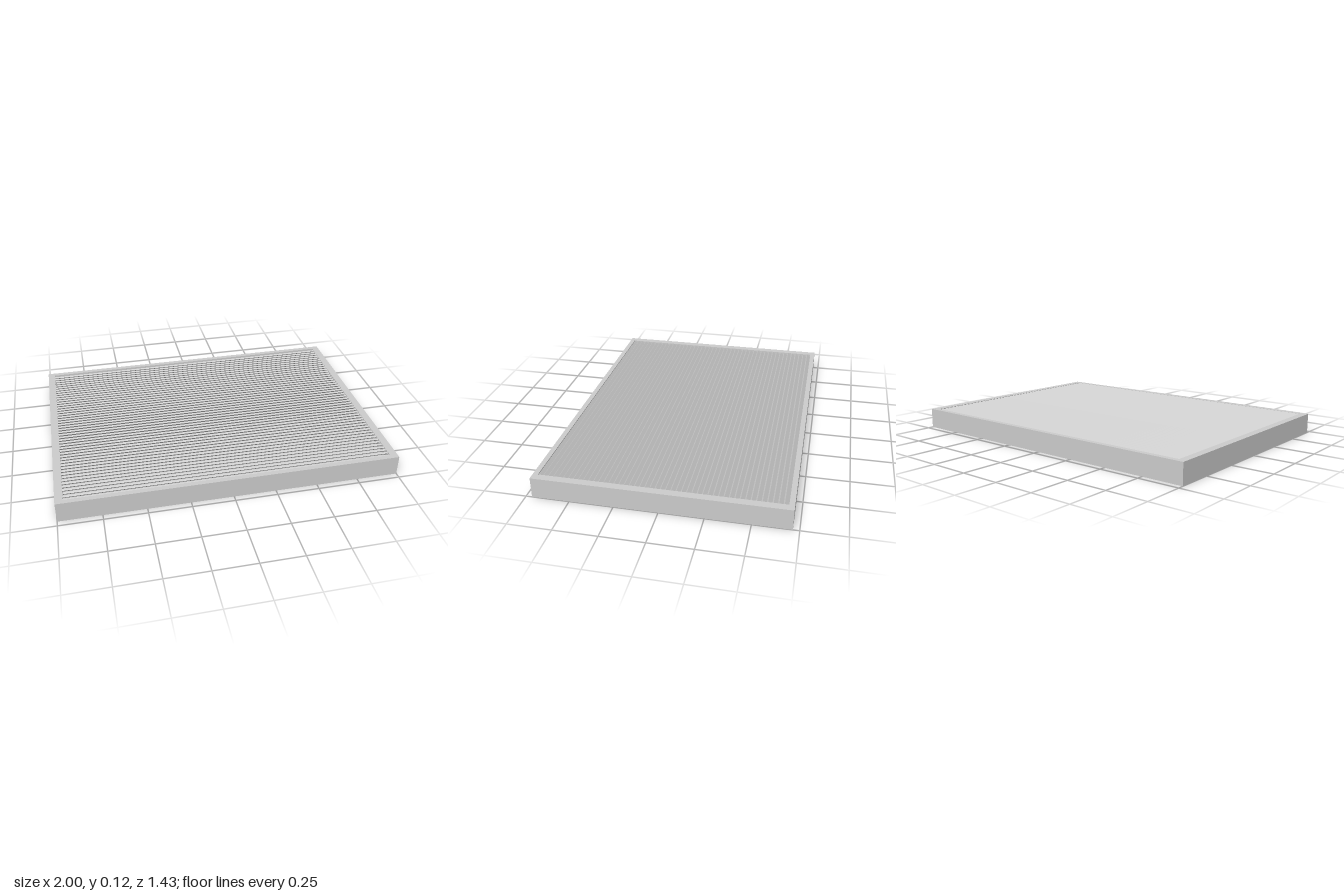
import * as THREE from 'three';

const W = 2, D = 1.43, H = 0.123;   // overall size
const PLATE_Y = 0.07;               // underside of the backing plate
const WALL = 0.003;
const OPEN_X = 1.91, OPEN_Z = 1.37; // louvre opening
const SLATS = 48, SLAT_T = 0.01, SLAT_L = 0.034, TILT = Math.PI / 4;

function rectPoints(w, d) {
  return [[-w, -d], [w, -d], [w, d], [-w, d]].map(([x, y]) => new THREE.Vector2(x / 2, y / 2));
}

// Rectangular ring lying flat, between heights y0 and y1
function ring(outerW, outerD, innerW, innerD, y0, y1) {
  const shape = new THREE.Shape(rectPoints(outerW, outerD));
  shape.holes.push(new THREE.Path(rectPoints(innerW, innerD).reverse()));
  const geo = new THREE.ExtrudeGeometry(shape, { depth: y1 - y0, bevelEnabled: false });
  return geo.rotateX(-Math.PI / 2).translate(0, y0, 0);
}

export function createModel() {
  const model = new THREE.Group();
  model.name = 'louvredPanel';
  const material = new THREE.MeshStandardMaterial({ color: 0xcccccc, flatShading: true });
  const add = (name, geo, parent = model) => {
    const mesh = new THREE.Mesh(geo, material);
    mesh.name = name;
    parent.add(mesh);
    return mesh;
  };

  // Thin outer walls, open underneath
  add('skirt', ring(W, D, W - 2 * WALL, D - 2 * WALL, 0, PLATE_Y));

  // Border around the louvres
  add('frame', ring(W, D, OPEN_X, OPEN_Z, PLATE_Y, H));

  // Backing plate closing the recess from below
  add('backPlate', new THREE.BoxGeometry(W - 2 * WALL, 0.006, D - 2 * WALL)).position.y = PLATE_Y + 0.003;

  // Closely spaced slats, each rising towards the front and ending flush with the frame
  const louvres = new THREE.Group();
  louvres.name = 'louvres';
  model.add(louvres);
  const slatGeo = new THREE.BoxGeometry(OPEN_X, SLAT_T, SLAT_L).rotateX(-TILT);
  const slatY = H - (SLAT_L * Math.sin(TILT) + SLAT_T * Math.cos(TILT)) / 2;
  const pitch = OPEN_Z / SLATS;
  for (let i = 0; i < SLATS; i++) {
    add('slat', slatGeo, louvres).position.set(0, slatY, -OPEN_Z / 2 + (i + 0.5) * pitch);
  }
  return model;
}
